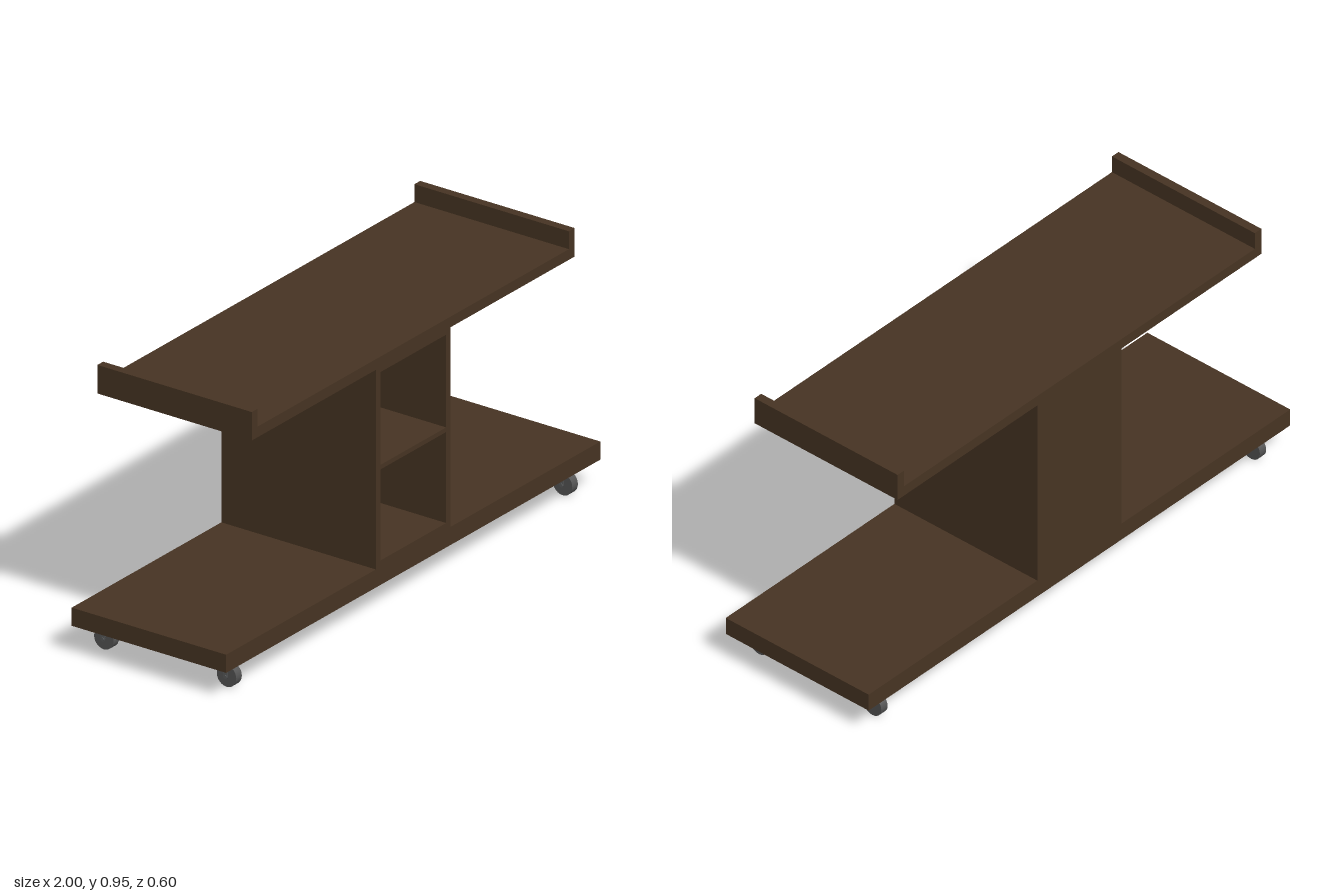
import * as THREE from 'three';

const wood = new THREE.MeshStandardMaterial({ name: 'dark wood', color: 0x473423 });
const metal = new THREE.MeshStandardMaterial({ name: 'grey metal', color: 0x58595a });
const rubber = new THREE.MeshStandardMaterial({ name: 'grey rubber', color: 0x545454 });

// Box given by its lower and upper limits on each axis
function board(name, [x0, x1], [y0, y1], [z0, z1], material = wood) {
  const mesh = new THREE.Mesh(new THREE.BoxGeometry(x1 - x0, y1 - y0, z1 - z0), material);
  mesh.position.set((x0 + x1) / 2, (y0 + y1) / 2, (z0 + z1) / 2);
  mesh.name = name;
  return mesh;
}

// Disc whose axle runs along x
function disc(name, radius, width, sides, material) {
  const geometry = new THREE.CylinderGeometry(radius, radius, width, sides).rotateZ(Math.PI / 2);
  const mesh = new THREE.Mesh(geometry, material);
  mesh.name = name;
  return mesh;
}

// Fork cheek: wide at the top, rounded around the axle
function forkGeometry() {
  const s = new THREE.Shape();
  s.moveTo(-0.012, 0.052);
  s.lineTo(-0.008, 0);
  s.absarc(0, 0, 0.008, Math.PI, Math.PI * 2, false);
  s.lineTo(0.012, 0.052);
  s.closePath();
  return new THREE.ExtrudeGeometry(s, { depth: 0.003, bevelEnabled: false, curveSegments: 8 })
    .translate(0, 0, -0.0015).rotateY(Math.PI / 2);
}

function createCaster() {
  const caster = new THREE.Group();
  caster.name = 'caster';
  const axleY = 0.038;
  caster.add(board('mountingPlate', [-0.062, 0.062], [0.091, 0.097], [-0.033, 0.033], metal));
  caster.add(board('forkBridge', [-0.022, 0.022], [0.086, 0.091], [-0.012, 0.012], metal));
  const fork = forkGeometry();
  for (const side of [-1, 1]) {
    const cheek = new THREE.Mesh(fork, metal);
    cheek.name = 'forkCheek';
    cheek.position.set(side * 0.0205, axleY, 0);
    caster.add(cheek);
  }
  const wheel = disc('wheel', 0.038, 0.03, 24, rubber);
  const axle = disc('axle', 0.006, 0.05, 12, metal);
  wheel.position.y = axle.position.y = axleY;
  caster.add(wheel, axle);
  return caster;
}

export function createModel() {
  const model = new THREE.Group();
  model.name = 'rollingStand';
  const depth = [-0.302, 0.302];

  // Base and top shelf
  model.add(board('base', [-1, 1], [0.097, 0.16], depth));
  model.add(board('topShelf', [-0.832, 0.832], [0.853, 0.89], depth));

  // Open-fronted cabinet
  const cabinet = new THREE.Group();
  cabinet.name = 'cabinet';
  const inside = [-0.176, 0.176], insideDepth = [-0.282, 0.302];
  cabinet.add(board('cabinetBack', inside, [0.16, 0.853], [-0.302, -0.282]));
  cabinet.add(board('cabinetFloor', inside, [0.16, 0.182], insideDepth));
  cabinet.add(board('cabinetShelf', inside, [0.498, 0.514], insideDepth));
  cabinet.add(board('cabinetTop', inside, [0.836, 0.853], insideDepth));
  model.add(cabinet);

  for (const side of [-1, 1]) {
    // Cabinet walls and raised shelf ends
    const wall = board('cabinetSide', [0.176, 0.2], [0.16, 0.853], depth);
    const lip = board('shelfEndLip', [0.832, 0.863], [0.853, 0.952], depth);
    for (const part of [wall, lip]) part.position.x *= side;
    cabinet.add(wall);
    model.add(lip);

    // Casters under the base corners
    for (const end of [-1, 1]) {
      const caster = createCaster();
      caster.position.set(side * 0.898, 0, end * 0.24);
      model.add(caster);
    }
  }
  return model;
}
